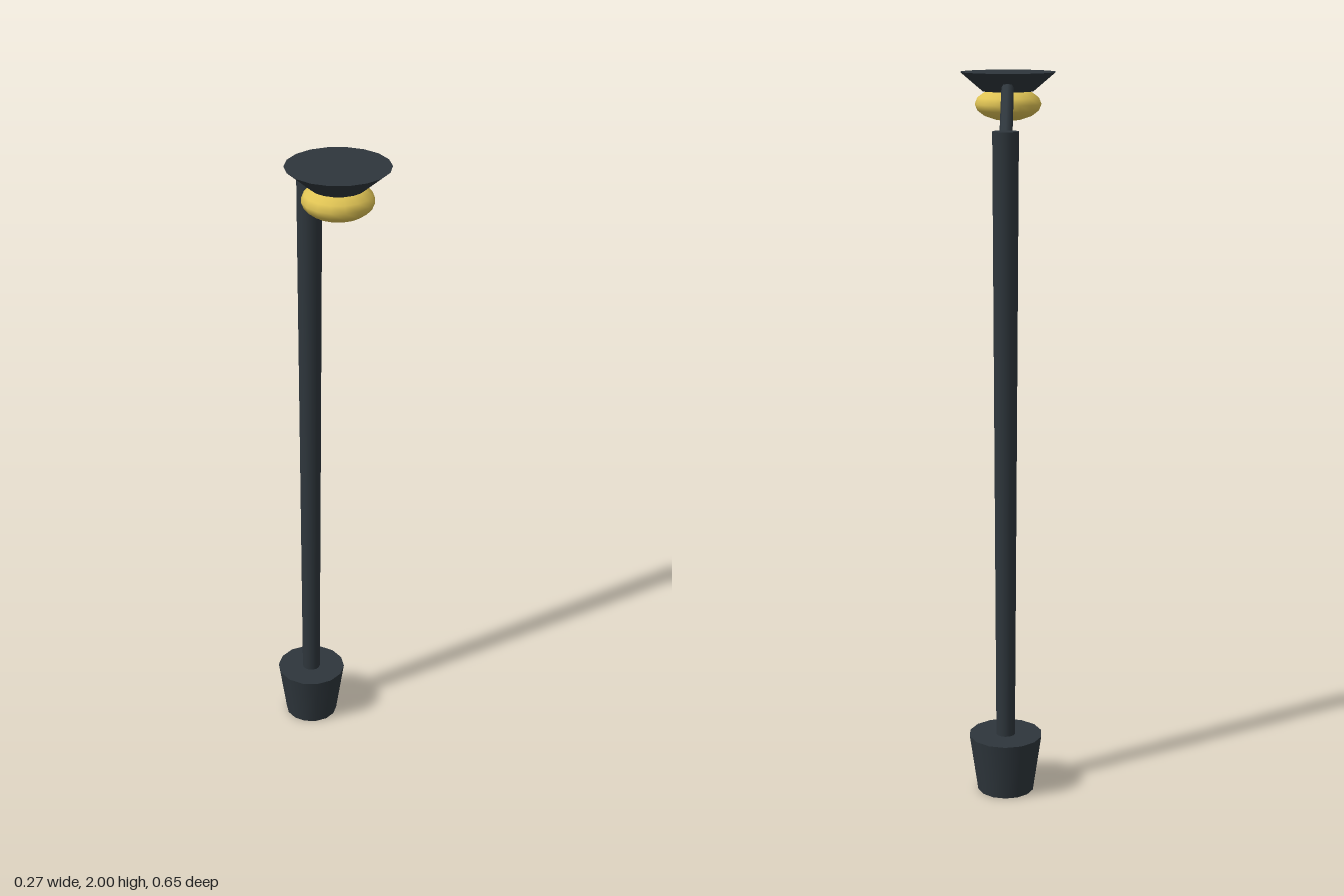
import * as THREE from 'three';

export function createModel() {
  const model = new THREE.Group();
  const iron = new THREE.MeshStandardMaterial({ color: 0x2e363c });
  iron.name = 'dark iron';
  const glow = new THREE.MeshStandardMaterial({ color: 0xdfc354 });
  glow.name = 'warm yellow';

  const postZ = -0.221, lampZ = 0.187;

  // Tapered round part standing between two heights
  const taper = (name, rTop, rBottom, y0, y1, z, sides) => {
    const mesh = new THREE.Mesh(new THREE.CylinderGeometry(rTop, rBottom, y1 - y0, sides), iron);
    mesh.name = name;
    mesh.position.set(0, (y0 + y1) / 2, z);
    model.add(mesh);
  };
  taper('base', 0.104, 0.08, 0, 0.165, postZ, 14);
  taper('post', 0.036, 0.027, 0.16, 1.865, postZ, 14);
  taper('lampShade', 0.137, 0.073, 1.946, 2, lampZ, 18);

  // Sloping arm from the post up into the shade
  const start = new THREE.Vector3(0, 1.83, postZ);
  const end = new THREE.Vector3(0, 1.972, 0.13);
  const dir = end.clone().sub(start);
  const arm = new THREE.Mesh(new THREE.CylinderGeometry(0.0175, 0.0175, dir.length(), 8), iron);
  arm.name = 'arm';
  arm.position.copy(start).add(end).multiplyScalar(0.5);
  arm.quaternion.setFromUnitVectors(new THREE.Vector3(0, 1, 0), dir.normalize());
  model.add(arm);

  // Flattened bulb under the shade
  const bulb = new THREE.Mesh(new THREE.SphereGeometry(0.095, 16, 8), glow);
  bulb.name = 'bulb';
  bulb.scale.y = 0.5;
  bulb.position.set(0, 1.91, lampZ);
  model.add(bulb);

  return model;
}
